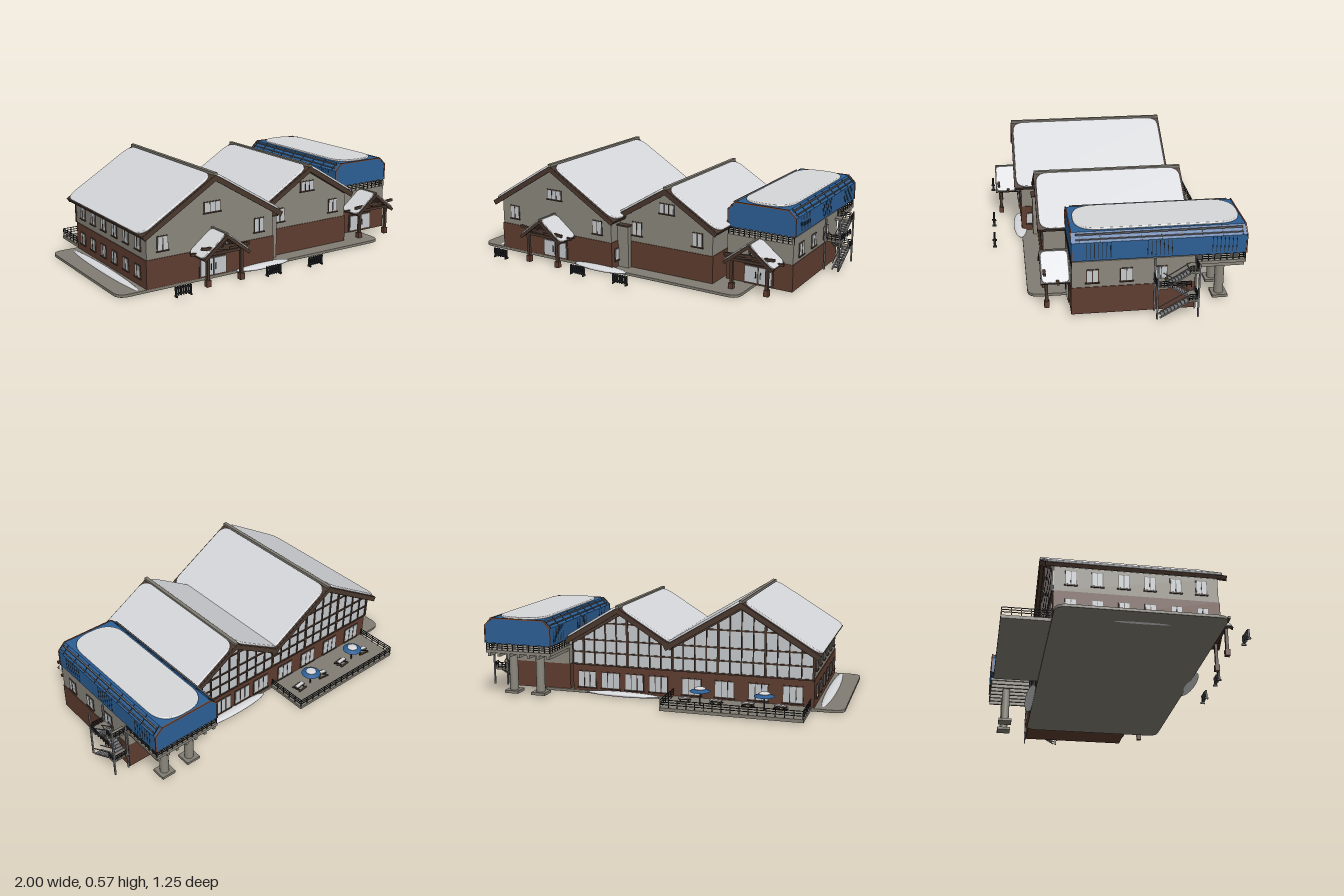
import * as THREE from 'three';

const material = (name, color) => Object.assign(new THREE.MeshStandardMaterial({ color }), { name });
const M = {
  brick: material('brown cladding', 0x5f3d30), plaster: material('grey plaster', 0x8b877d),
  snow: material('snow', 0xd6d7da), blue: material('blue panels', 0x2c5f96),
  timber: material('dark timber', 0x4a382e), dark: material('dark metal', 0x26272a),
  stone: material('paving', 0x817d73), glass: material('pale glass', 0xc6cacd),
  rust: material('rust trim', 0x84492c), steel: material('steel', 0x77777a),
};
const UNIT = new THREE.BoxGeometry(1, 1, 1);

export function createModel() {
  const root = new THREE.Group();
  root.name = 'mountainLodge';
  const add = (parent, name, geometry, mat) => {
    const mesh = new THREE.Mesh(geometry, mat);
    mesh.name = name;
    parent.add(mesh);
    return mesh;
  };
  const group = (name, parent = root) => {
    const g = new THREE.Group();
    g.name = name;
    parent.add(g);
    return g;
  };
  // Box given by its limits on each axis
  const box = (p, name, mat, x0, x1, y0, y1, z0, z1) => {
    const m = add(p, name, UNIT, mat);
    m.position.set((x0 + x1) / 2, (y0 + y1) / 2, (z0 + z1) / 2);
    m.scale.set(x1 - x0, y1 - y0, z1 - z0);
    return m;
  };
  // Square bar between two points
  const bar = (p, name, mat, a, b, t) => {
    const A = new THREE.Vector3(...a), B = new THREE.Vector3(...b);
    const m = add(p, name, UNIT, mat);
    m.position.copy(A).add(B).multiplyScalar(0.5);
    m.scale.set(t, t, A.distanceTo(B));
    m.lookAt(B);
    return m;
  };
  const prism = (p, name, mat, pts, z0, z1) => {
    const shape = new THREE.Shape(pts.map(q => new THREE.Vector2(...q)));
    const m = add(p, name, new THREE.ExtrudeGeometry(shape, { depth: z1 - z0, bevelEnabled: false }), mat);
    m.position.z = z0;
    return m;
  };
  // Flat slab with rounded corners, base on y = 0
  const slab = (p, name, mat, w, d, h, r, bevel = h * 0.4) => {
    const s = new THREE.Shape(), a = w / 2 - bevel, b = d / 2 - bevel;
    s.moveTo(-a + r, -b).lineTo(a - r, -b).quadraticCurveTo(a, -b, a, -b + r);
    s.lineTo(a, b - r).quadraticCurveTo(a, b, a - r, b);
    s.lineTo(-a + r, b).quadraticCurveTo(-a, b, -a, b - r);
    s.lineTo(-a, -b + r).quadraticCurveTo(-a, -b, -a + r, -b);
    const g = new THREE.ExtrudeGeometry(s, { depth: h - 2 * bevel, bevelSize: bevel, bevelThickness: bevel, bevelSegments: 3, curveSegments: 8 });
    return add(p, name, g.translate(0, 0, bevel).rotateX(-Math.PI / 2), mat);
  };
  // Two roof slopes with snow, fascia and a ridge cap
  const roof = (p, cx, top, dx, dy, z0, z1, t, r) => {
    const L = Math.hypot(dx, dy), d = z1 - z0;
    for (const side of [0, 1]) {
      const turn = group('roofSide', p), slope = group('roofSlope', turn);
      turn.position.set(cx, top, (z0 + z1) / 2);
      turn.rotation.y = side * Math.PI;
      slope.rotation.z = -Math.atan2(dy, dx);
      box(slope, 'roofBoard', M.timber, 0, L, -t, 0, -d / 2, d / 2);
      for (const s of [-1, 1]) box(slope, 'bargeBoard', M.timber, 0, L, -t * 1.4, -0.001, s * d / 2 - 0.004, s * d / 2 + 0.004);
      slab(slope, 'roofSnow', M.snow, L * 0.97, d * 0.985, t * 0.6, r).position.x = L * 0.51;
    }
    box(p, 'ridgeCap', M.stone, cx - t * 0.5, cx + t * 0.5, top - t * 0.2, top + t * 0.5, z0 - 0.002, z1 + 0.002);
  };
  // Framed window centred at the origin, facing +z
  const windowAt = (p, x, y, z, w, h, turn = 0, panes = 2) => {
    const g = group('window', p);
    g.position.set(x, y, z);
    g.rotation.y = turn;
    box(g, 'frame', M.timber, -w / 2 - 0.004, w / 2 + 0.004, -h / 2 - 0.004, h / 2 + 0.004, 0, 0.004);
    box(g, 'pane', M.glass, -w / 2, w / 2, -h / 2, h / 2, 0.003, 0.006);
    for (let i = 1; i < panes; i++) {
      const m = -w / 2 + w * i / panes;
      box(g, 'mullion', M.timber, m - 0.0018, m + 0.0018, -h / 2, h / 2, 0.005, 0.008);
    }
    box(g, 'sill', M.timber, -w / 2 - 0.008, w / 2 + 0.008, -h / 2 - 0.008, -h / 2 - 0.002, 0, 0.009);
    return g;
  };
  // Railing along a straight line
  const railing = (p, a, b, h, n, mat = M.dark) => {
    const at = (t, y) => [a[0] + (b[0] - a[0]) * t, a[1] + (b[1] - a[1]) * t + y, a[2] + (b[2] - a[2]) * t];
    for (const k of [0.4, 0.7, 1]) bar(p, 'rail', mat, at(0, h * k), at(1, h * k), 0.0035);
    for (let i = 0; i <= n; i++) bar(p, 'railPost', mat, at(i / n, 0), at(i / n, h), 0.004);
  };

  // Ground and snow drifts
  slab(root, 'ground', M.stone, 1.69, 0.83, 0.015, 0.06, 0.001).position.set(-0.155, 0, 0.035);
  const drift = (x, z, w, d, h) => {
    const m = add(root, 'snowDrift', new THREE.SphereGeometry(1, 24, 12), M.snow);
    m.position.set(x, 0.013, z);
    m.scale.set(w / 2, h, d / 2);
  };
  drift(-0.15, 0.455, 0.34, 0.08, 0.015);
  drift(-0.885, 0.05, 0.06, 0.78, 0.014);
  drift(0.2, -0.395, 0.42, 0.06, 0.014);

  // Gabled halls with a glazed back wall
  const hall = (name, x0, x1, zf, apex, slope) => {
    const g = group(name), cx = (x0 + x1) / 2, zb = -0.375, lift = 0.165;
    const eave = apex - slope * (x1 - x0) / 2;
    const outline = [[x0, lift], [x1, lift], [x1, eave], [cx, apex], [x0, eave]];
    box(g, 'lowerWall', M.brick, x0 - 0.004, x1 + 0.004, 0.01, lift, zb, zf + 0.004);
    prism(g, 'upperWall', M.plaster, outline, zb, zf);
    prism(g, 'backGlazing', M.glass, outline, zb - 0.005, zb - 0.0005);
    const n = Math.round((x1 - x0) / 0.063);
    for (let i = 0; i <= n; i++) {
      const x = x0 + (x1 - x0) * i / n, t = i % 4 ? 0.003 : 0.006;
      box(g, 'glazingPost', M.timber, x - t, x + t, lift, apex - slope * Math.abs(x - cx), zb - 0.012, zb - 0.004);
    }
    for (const y of [lift, 0.235, 0.305, 0.4]) {
      const half = Math.min((x1 - x0) / 2, (apex - y) / slope);
      if (half > 0.05) box(g, 'glazingRail', M.timber, cx - half, cx + half, y - 0.004, y + 0.004, zb - 0.011, zb - 0.003);
    }
    for (const s of [-1, 1]) bar(g, 'gableBeam', M.timber, [cx, apex - 0.008, zb - 0.012], [cx + s * (x1 - x0) / 2, eave - 0.008, zb - 0.012], 0.016);
    for (const k of [0.14, 0.38, 0.62, 0.86]) windowAt(g, x0 + (x1 - x0) * k, 0.08, zb, 0.1, 0.085, Math.PI, 3);
    return g;
  };
  const west = hall('westHall', -0.84, -0.08, 0.445, 0.53, 0.607);
  roof(west, -0.46, 0.555, 0.42, 0.255, -0.415, 0.48, 0.02, 0.06);
  const east = hall('eastHall', -0.08, 0.495, 0.355, 0.47, 0.607);
  roof(east, 0.22, 0.495, 0.315, 0.191, -0.415, 0.38, 0.02, 0.06);
  for (const x of [-0.75, -0.17]) windowAt(west, x, 0.24, 0.445, 0.055, 0.07);
  windowAt(west, -0.46, 0.383, 0.445, 0.09, 0.05, 0, 3);
  for (const x of [0.03, 0.405]) windowAt(east, x, 0.24, 0.355, 0.055, 0.07);
  windowAt(east, 0.218, 0.38, 0.355, 0.085, 0.05, 0, 3);
  for (let i = 0; i < 6; i++) {
    windowAt(west, -0.84, 0.24, -0.29 + i * 0.13, 0.05, 0.07, -Math.PI / 2);
    windowAt(west, -0.844, 0.09, -0.29 + i * 0.13, 0.05, 0.06, -Math.PI / 2);
  }
  windowAt(west, -0.076, 0.09, 0.402, 0.03, 0.06, Math.PI / 2, 1);

  // Link block in the inner corner
  box(root, 'linkBlock', M.plaster, -0.08, -0.01, 0.015, 0.25, 0.34, 0.385);
  box(root, 'linkCap', M.timber, -0.08, -0.005, 0.25, 0.258, 0.34, 0.392);

  // Lift station building and raised deck
  const station = group('liftStation');
  box(station, 'lowerWall', M.brick, 0.52, 0.9, 0.01, 0.157, -0.37, 0.245);
  box(station, 'upperWall', M.plaster, 0.523, 0.897, 0.157, 0.264, -0.37, 0.242);
  box(station, 'sideParapet', M.plaster, 0.889, 0.897, 0.264, 0.297, -0.37, 0.242);
  box(station, 'deck', M.plaster, 0.52, 0.902, 0.25, 0.266, -0.62, -0.37);
  for (let i = 0; i < 7; i++) box(station, 'deckBeam', M.plaster, 0.53 + i * 0.058, 0.545 + i * 0.058, 0.23, 0.25, -0.615, -0.37);
  for (const z of [0.14, -0.028, -0.198]) windowAt(station, 0.897, 0.217, z, 0.055, 0.064, Math.PI / 2);
  for (const x of [0.63, 0.79]) {
    const pillar = add(station, 'pillar', new THREE.CylinderGeometry(0.024, 0.024, 0.205, 20), M.plaster);
    pillar.position.set(x, 0.13, -0.52);
    box(station, 'pillarFoot', M.stone, x - 0.04, x + 0.04, 0.015, 0.03, -0.56, -0.48);
  }
  railing(station, [0.525, 0.264, 0.24], [0.898, 0.264, 0.24], 0.036, 12);
  railing(station, [0.525, 0.264, -0.617], [0.898, 0.264, -0.617], 0.036, 12);
  for (const x of [0.524, 0.899]) railing(station, [x, 0.264, -0.617], [x, 0.264, -0.37], 0.036, 8);
  for (const z of [-0.45, -0.15, 0.1]) for (const x of [0.62, 0.8]) box(station, 'canopyPost', M.steel, x - 0.012, x + 0.012, 0.264, 0.32, z - 0.012, z + 0.012);

  // Blue canopy
  const canopy = group('canopy');
  const profile = [[0.522, 0.304], [0.903, 0.304], [0.903, 0.4], [0.862, 0.44], [0.563, 0.44], [0.522, 0.4]];
  prism(canopy, 'canopyShell', M.blue, profile, -0.62, 0.24);
  for (const z of [-0.62, 0.24]) {
    for (let i = 1; i < 5; i++) bar(canopy, 'endTrim', M.rust, [...profile[i], z], [...profile[i + 1], z], 0.006);
    bar(canopy, 'endTrim', M.rust, [...profile[0], z], [...profile[5], z], 0.006);
  }
  slab(canopy, 'canopySnow', M.snow, 0.275, 0.83, 0.012, 0.12).position.set(0.7125, 0.439, -0.195);
  for (const s of [-1, 1]) {
    const x = 0.7125 + s * 0.1905;
    for (const start of [0.17, -0.13, -0.45]) for (let i = 0; i < 7; i++) {
      const z = start - i * 0.02;
      box(canopy, 'sideGroove', M.dark, x - 0.001, x + 0.001, 0.315, 0.395, z - 0.0015, z + 0.0015);
    }
    bar(canopy, 'roofRail', M.steel, [0.7125 + s * 0.168, 0.434, 0.22], [0.7125 + s * 0.168, 0.434, -0.6], 0.007);
    bar(canopy, 'gutter', M.steel, [0.7125 + s * 0.184, 0.415, 0.22], [0.7125 + s * 0.184, 0.415, -0.6], 0.005);
    for (let i = 0; i < 9; i++) bar(canopy, 'roofRib', M.dark, [0.7125 + s * 0.19, 0.401, 0.2 - i * 0.1], [0.7125 + s * 0.15, 0.44, 0.2 - i * 0.1], 0.004);
  }

  // Outside stair in three flights
  const stair = group('outsideStair');
  const flight = (x0, x1, y0, z0, y1, z1) => {
    for (const x of [x0, x1]) {
      bar(stair, 'stringer', M.steel, [x, y0, z0], [x, y1, z1], 0.007);
      bar(stair, 'handrail', M.steel, [x, y0 + 0.035, z0], [x, y1 + 0.035, z1], 0.004);
    }
    for (let i = 1; i < 9; i++) {
      const y = y0 + (y1 - y0) * i / 9, z = z0 + (z1 - z0) * i / 9;
      box(stair, 'tread', M.steel, x0, x1, y - 0.002, y + 0.002, z - 0.009, z + 0.009);
    }
  };
  flight(0.952, 0.99, 0.015, -0.18, 0.1, -0.33);
  flight(0.908, 0.948, 0.1, -0.33, 0.18, -0.21);
  flight(0.952, 0.99, 0.18, -0.21, 0.255, -0.33);
  for (const [y, z0, z1] of [[0.1, -0.37, -0.325], [0.18, -0.215, -0.165], [0.255, -0.37, -0.325]]) {
    box(stair, 'landing', M.stone, 0.9, 0.994, y - 0.006, y + 0.006, z0, z1);
    railing(stair, [0.992, y, z0], [0.992, y, z1], 0.036, 3);
    const z = z0 < -0.3 ? z0 : z1;
    railing(stair, [0.9, y, z], [0.992, y, z], 0.036, 4);
  }
  railing(stair, [0.992, 0.18, -0.33], [0.992, 0.18, -0.215], 0.03, 5);
  for (const z of [-0.167, -0.37]) for (const x of [0.91, 0.991]) box(stair, 'stairPost', M.steel, x - 0.004, x + 0.004, 0.01, 0.3, z - 0.004, z + 0.004);

  // Entrance porches with truss, posts and double doors
  const porch = (cx, zw) => {
    const g = group('entrancePorch'), zf = zw + 0.115;
    g.position.x = cx;
    roof(g, 0, 0.272, 0.14, 0.11, zw, zw + 0.14, 0.012, 0.025);
    for (const s of [-1, 1]) {
      box(g, 'porchPost', M.timber, s * 0.1 - 0.008, s * 0.1 + 0.008, 0.01, 0.18, zf - 0.008, zf + 0.008);
      box(g, 'postFoot', M.brick, s * 0.1 - 0.013, s * 0.1 + 0.013, 0.01, 0.045, zf - 0.013, zf + 0.013);
      bar(g, 'sideBeam', M.timber, [s * 0.1, 0.17, zw], [s * 0.1, 0.17, zf + 0.015], 0.013);
      bar(g, 'rafter', M.timber, [0, 0.255, zf + 0.01], [s * 0.125, 0.155, zf + 0.01], 0.014);
      bar(g, 'strut', M.timber, [0, 0.18, zf], [s * 0.05, 0.215, zf], 0.009);
      box(g, 'door', M.glass, s * 0.04 - 0.036, s * 0.04 + 0.036, 0.025, 0.112, zw + 0.005, zw + 0.01);
      box(g, 'doorHandle', M.dark, s * 0.014 - 0.002, s * 0.014 + 0.002, 0.05, 0.085, zw + 0.009, zw + 0.014);
    }
    box(g, 'tieBeam', M.timber, -0.115, 0.115, 0.168, 0.182, zf - 0.007, zf + 0.007);
    box(g, 'kingPost', M.timber, -0.005, 0.005, 0.18, 0.26, zf - 0.005, zf + 0.005);
    box(g, 'doorFrame', M.timber, -0.084, 0.084, 0.015, 0.12, zw, zw + 0.006);
  };
  porch(-0.46, 0.447);
  porch(0.71, 0.245);

  // Rear terrace with railing, parasols and tables
  const terrace = group('terrace');
  box(terrace, 'terraceFloor', M.stone, -0.83, -0.085, 0.005, 0.022, -0.62, -0.37);
  railing(terrace, [-0.827, 0.022, -0.616], [-0.088, 0.022, -0.616], 0.042, 16);
  for (const x of [-0.827, -0.088]) railing(terrace, [x, 0.022, -0.616], [x, 0.022, -0.38], 0.042, 5);
  for (const x of [-0.61, -0.27]) {
    const g = group('parasolSet', terrace);
    g.position.set(x, 0.022, -0.505);
    box(g, 'parasolPole', M.dark, -0.003, 0.003, 0, 0.08, -0.003, 0.003);
    add(g, 'parasol', new THREE.ConeGeometry(0.055, 0.022, 16), M.blue).position.y = 0.084;
    const cap = add(g, 'parasolSnow', new THREE.SphereGeometry(0.03, 16, 8), M.snow);
    cap.position.y = 0.087;
    cap.scale.y = 0.3;
    for (const s of [-1, 1]) {
      const t = group('picnicTable', g);
      t.position.x = s * 0.085;
      t.rotation.y = s * 0.12;
      box(t, 'tableTop', M.timber, -0.032, 0.032, 0.026, 0.03, -0.013, 0.013);
      box(t, 'tableSnow', M.snow, -0.03, 0.03, 0.03, 0.034, -0.011, 0.011);
      for (const k of [-1, 1]) {
        box(t, 'bench', M.timber, -0.032, 0.032, 0.013, 0.017, k * 0.024 - 0.005, k * 0.024 + 0.005);
        bar(t, 'tableLeg', M.dark, [k * 0.022, 0, -0.024], [k * 0.022, 0.027, 0.006], 0.004);
        bar(t, 'tableLeg', M.dark, [k * 0.022, 0, 0.024], [k * 0.022, 0.027, -0.006], 0.004);
      }
    }
  }

  // Ski racks in front
  for (const x of [-0.73, -0.19, 0.085]) {
    const g = group('skiRack');
    g.position.set(x, 0.012, 0.61);
    for (const y of [0.018, 0.045]) box(g, 'rackBar', M.dark, -0.045, 0.045, y - 0.003, y + 0.003, -0.004, 0.004);
    for (let i = 0; i < 7; i++) box(g, 'rackPeg', M.dark, -0.0445 + i * 0.014, -0.0395 + i * 0.014, 0.008, 0.054, -0.006, 0.006);
    for (const s of [-1, 1]) box(g, 'rackFoot', M.dark, s * 0.04 - 0.003, s * 0.04 + 0.003, 0, 0.01, -0.012, 0.012);
  }
  return root;
}
